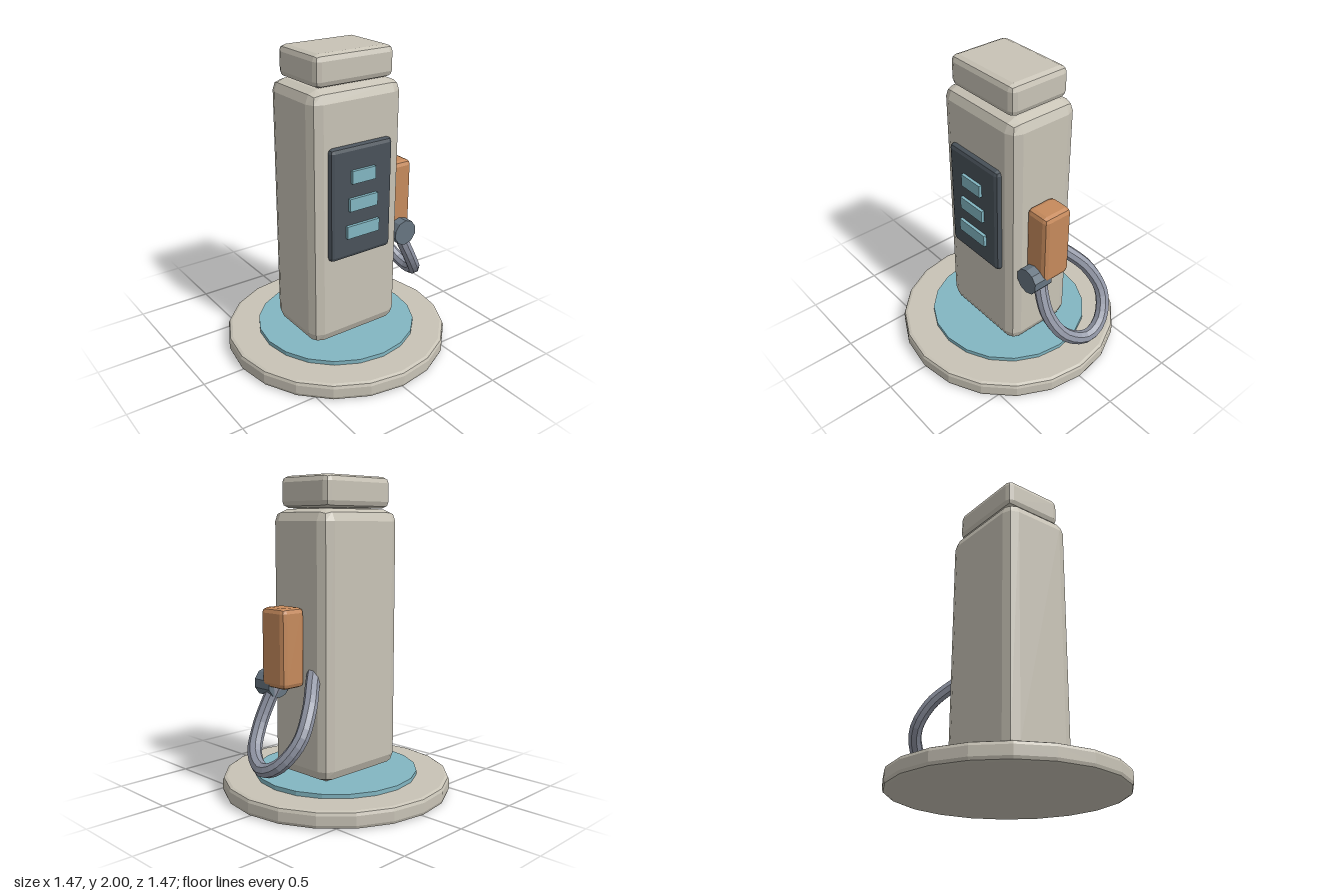
import * as THREE from 'three';
import { RoundedBoxGeometry } from 'three/addons/geometries/RoundedBoxGeometry.js';

const paint = (color) => new THREE.MeshStandardMaterial({ color, flatShading: true });

export function createModel() {
  const model = new THREE.Group();
  const cream = paint(0xc8c3b6), blue = paint(0x82b6c2), dark = paint(0x49525a);
  const orange = paint(0xc68a5c), steel = paint(0x677581), rubber = paint(0x8f94a3);

  const add = (name, geometry, material, x = 0, y = 0, z = 0) => {
    const mesh = new THREE.Mesh(geometry, material);
    mesh.name = name;
    mesh.position.set(x, y, z);
    model.add(mesh);
    return mesh;
  };
  // Box with two-facet rounded edges
  const softBox = (w, h, d, r) => new RoundedBoxGeometry(w, h, d, 1, r);

  // Round plinth with softened rim
  const rim = [[0, 0], [0.71, 0], [0.728, 0.007], [0.735, 0.025],
    [0.735, 0.083], [0.728, 0.101], [0.71, 0.108], [0, 0.108]];
  add('plinth', new THREE.LatheGeometry(rim.map(([r, y]) => new THREE.Vector2(r, y)), 20), cream);
  add('plinthInlay', new THREE.CylinderGeometry(0.525, 0.525, 0.06, 20), blue, 0, 0.105, 0);

  // Pump cabinet and cap
  add('cabinet', softBox(0.66, 1.66, 0.49, 0.075), cream, 0, 0.97, 0);
  add('cap', softBox(0.56, 0.195, 0.42, 0.04), cream, 0, 1.9025, 0);

  // Display panel with three readouts, wider towards the bottom
  add('displayPanel', softBox(0.456, 0.73, 0.08, 0.028), dark, 0, 1.094, 0.24);
  [[0.172, 1.268], [0.208, 1.092], [0.24, 0.915]].forEach(([w, y], i) =>
    add(`readout${i + 1}`, new THREE.BoxGeometry(w, 0.082, 0.04), blue, 0, y, 0.28));

  // Nozzle holder on the side and its round coupling
  add('nozzleHolder', softBox(0.174, 0.488, 0.208, 0.032), orange, 0.417, 0.971, 0.038);
  add('coupling', new THREE.CylinderGeometry(0.087, 0.087, 0.135, 10), steel, 0.416, 0.738, 0.142)
    .rotation.x = Math.PI / 2;

  // Hose looping from the coupling back into the cabinet
  const path = new THREE.CatmullRomCurve3([
    [0.42, 0.74, 0.1], [0.47, 0.62, 0.125], [0.54, 0.48, 0.125], [0.63, 0.35, 0.06],
    [0.685, 0.29, -0.08], [0.67, 0.34, -0.21], [0.59, 0.48, -0.295],
    [0.48, 0.64, -0.26], [0.36, 0.76, -0.16], [0.3, 0.81, -0.11],
  ].map((p) => new THREE.Vector3(...p)));
  add('hose', new THREE.TubeGeometry(path, 28, 0.044, 8), rubber);

  return model;
}
